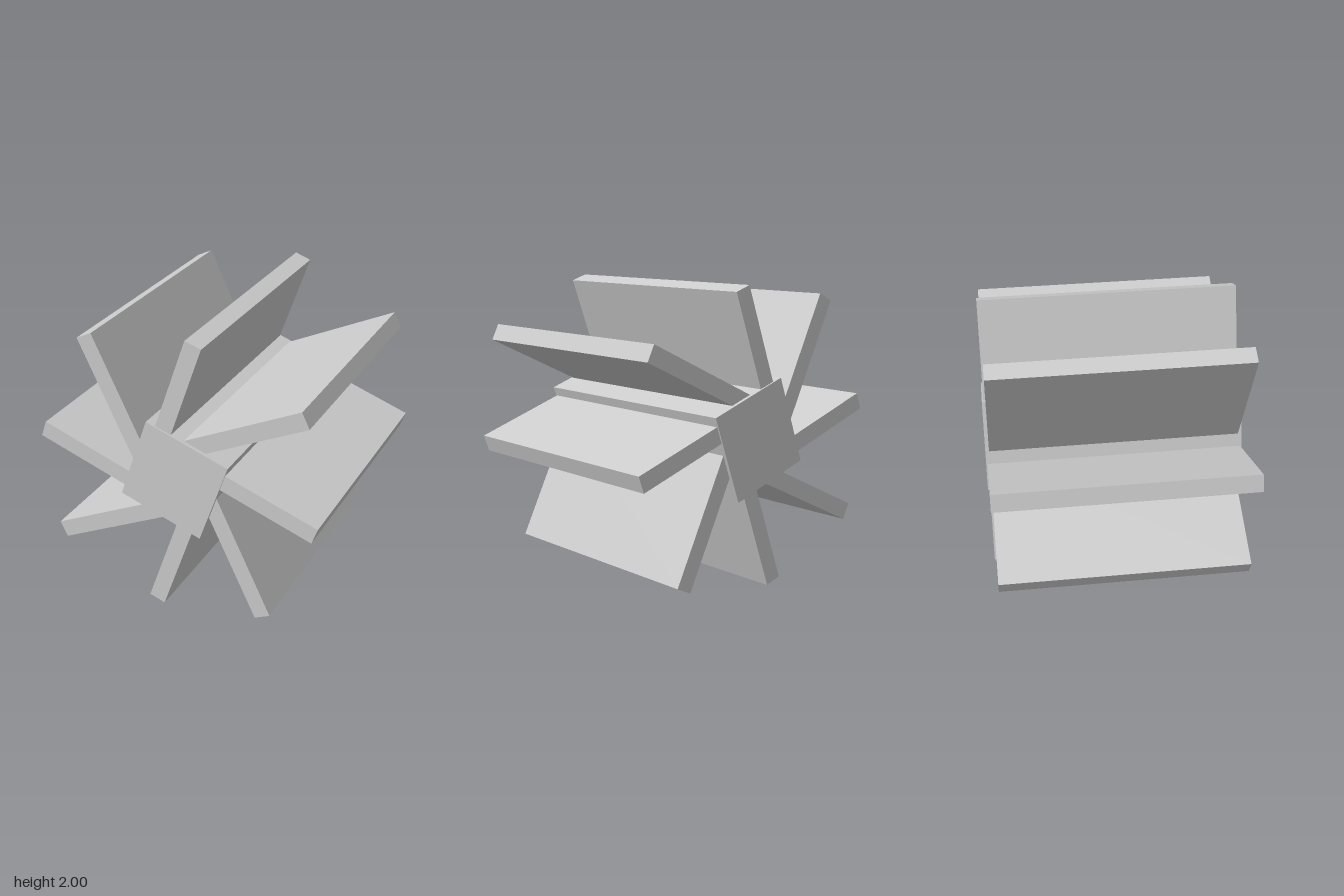
import * as THREE from 'three';

const TILT = THREE.MathUtils.degToRad(-19.4);
const BLADE_THICKNESS = 0.117;
const BLADE_OFFSET = 0.181; // sideways shift of each blade from the axle

export function createModel() {
  const model = new THREE.Group();
  const material = new THREE.MeshStandardMaterial({ color: 0xcccccc, flatShading: true });

  const wheel = new THREE.Group();
  wheel.name = 'paddleWheel';
  wheel.position.y = 1;
  wheel.rotation.z = TILT;
  model.add(wheel);

  // Square hub running along z
  const hub = new THREE.Mesh(new THREE.BoxGeometry(0.609, 0.609, 1.75), material);
  hub.name = 'hub';
  wheel.add(hub);

  // Flat paddle from radius `inner` to `outer`, rooted inside the hub
  function addBlade(name, angle, inner, outer, depth) {
    const geometry = new THREE.BoxGeometry(outer - inner, BLADE_THICKNESS, depth);
    geometry.translate((inner + outer) / 2, BLADE_OFFSET, 0);
    const blade = new THREE.Mesh(geometry, material);
    blade.name = name;
    blade.rotation.z = angle;
    wheel.add(blade);
  }

  // Four blades square to the hub, four diagonal ones between them
  for (let i = 0; i < 4; i++) {
    const angle = (i * Math.PI) / 2;
    addBlade(`straightBlade${i + 1}`, angle, 0.2, 0.975, 1.728);
    addBlade(`diagonalBlade${i + 1}`, angle + Math.PI / 4, 0.1, 1.075, 1.7);
  }

  return model;
}
